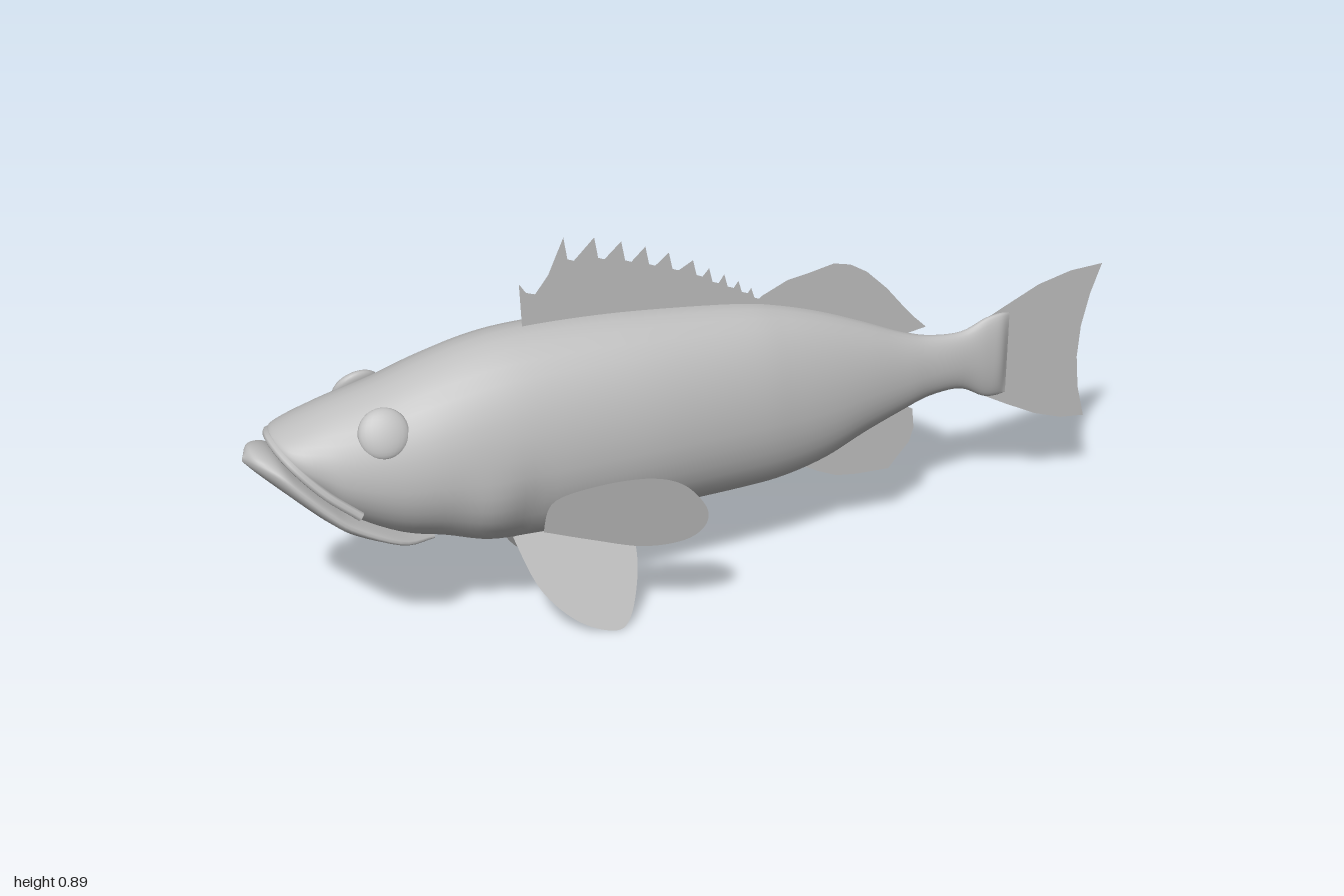
import * as THREE from 'three';

const skin = new THREE.MeshStandardMaterial({ color: 0xbfbfbf, side: THREE.DoubleSide });
skin.name = 'pale grey';

function add(parent, name, geometry) {
  const mesh = new THREE.Mesh(geometry, skin);
  mesh.name = name;
  parent.add(mesh);
  return mesh;
}

// Smooth loft along x. Each station is [x, top, bottom, halfWidth].
function loft(stations, rings, sides, mid, shape = () => 0) {
  const heights = new THREE.CatmullRomCurve3(
    stations.map(s => new THREE.Vector3(s[0], s[1], s[2])), false, 'catmullrom', 0.5);
  const widths = new THREE.CatmullRomCurve3(
    stations.map(s => new THREE.Vector3(s[0], s[3], 0)), false, 'catmullrom', 0.5);
  const pos = [], idx = [];
  for (let i = 0; i <= rings; i++) {
    const h = heights.getPoint(i / rings);
    const w = Math.max(widths.getPoint(i / rings).y, 0);
    const c = h.z + (h.y - h.z) * mid;
    for (let j = 0; j < sides; j++) {
      const a = (j / sides) * Math.PI * 2;
      const s = Math.sin(a);
      const y = c + s * (s > 0 ? h.y - c : c - h.z);
      pos.push(h.x, y, Math.cos(a) * (w + shape(h.x, y)));
    }
  }
  for (let i = 0; i < rings; i++) {
    for (let j = 0; j < sides; j++) {
      const k = (j + 1) % sides;
      const a = i * sides + j, b = i * sides + k;
      const d = a + sides, e = b + sides;
      idx.push(a, d, b, b, d, e);
    }
  }
  const g = new THREE.BufferGeometry();
  g.setAttribute('position', new THREE.Float32BufferAttribute(pos, 3));
  g.setIndex(idx);
  g.computeVertexNormals();
  return g;
}

// Flat fin from an outline; depth(x, y) places it in z.
function fin(points, smooth, depth = () => 0) {
  const pts = points.map(p => new THREE.Vector2(p[0], p[1]));
  const shape = new THREE.Shape();
  shape.moveTo(pts[0].x, pts[0].y);
  if (smooth) shape.splineThru(pts.slice(1));
  else pts.slice(1).forEach(p => shape.lineTo(p.x, p.y));
  const g = new THREE.ShapeGeometry(shape, 5);
  const p = g.attributes.position;
  for (let i = 0; i < p.count; i++) p.setZ(i, depth(p.getX(i), p.getY(i)));
  g.computeVertexNormals();
  return g;
}

export function createModel() {
  const fish = new THREE.Group();
  fish.name = 'fish';

  // Body, with a slight gill cover step low on each side
  const gill = (x, y) => {
    const low = Math.exp(-(((y - 0.33) / 0.09) ** 2));
    return 0.008 * low * Math.exp(-(((x + 0.52) / 0.05) ** 2))
      - 0.008 * low * Math.exp(-(((x + 0.42) / 0.04) ** 2));
  };
  add(fish, 'body', loft([
    [-0.945, 0.55, 0.54, 0], [-0.93, 0.562, 0.515, 0.06], [-0.9, 0.575, 0.465, 0.095],
    [-0.85, 0.593, 0.405, 0.118], [-0.8, 0.608, 0.35, 0.135], [-0.7, 0.633, 0.29, 0.155],
    [-0.6, 0.665, 0.26, 0.168], [-0.5, 0.69, 0.225, 0.174], [-0.4, 0.7, 0.215, 0.174],
    [-0.25, 0.697, 0.213, 0.168], [-0.1, 0.685, 0.213, 0.158], [0.1, 0.66, 0.213, 0.135],
    [0.2, 0.637, 0.218, 0.119], [0.3, 0.603, 0.24, 0.1], [0.4, 0.56, 0.282, 0.077],
    [0.5, 0.513, 0.317, 0.052], [0.57, 0.49, 0.338, 0.036], [0.65, 0.484, 0.34, 0.026],
    [0.71, 0.507, 0.308, 0.023], [0.745, 0.513, 0.302, 0.018], [0.77, 0.51, 0.305, 0],
  ], 100, 36, 0.46, gill));

  // Jutting lower jaw and thin upper lip
  add(fish, 'lowerJaw', loft([
    [-1, 0.515, 0.505, 0], [-0.98, 0.533, 0.485, 0.045], [-0.94, 0.522, 0.445, 0.08],
    [-0.9, 0.482, 0.407, 0.103], [-0.85, 0.432, 0.362, 0.122], [-0.8, 0.388, 0.328, 0.132],
    [-0.7, 0.325, 0.287, 0.128], [-0.62, 0.29, 0.268, 0.08],
  ], 32, 24, 0.6));
  const lip = [[-0.79, 0.4, 0.132], [-0.86, 0.46, 0.115], [-0.92, 0.525, 0.075], [-0.94, 0.548, 0]];
  const lipPath = [...lip, ...lip.slice(0, 3).reverse().map(p => [p[0], p[1], -p[2]])];
  add(fish, 'upperLip', new THREE.TubeGeometry(
    new THREE.CatmullRomCurve3(lipPath.map(p => new THREE.Vector3(...p))), 32, 0.01, 8));

  // Spiny front dorsal fin: sharp tips with notches behind them
  const tips = [[-0.29, 0.89], [-0.222, 0.878], [-0.162, 0.858], [-0.108, 0.836], [-0.055, 0.812],
    [0, 0.784], [0.037, 0.758], [0.072, 0.737], [0.105, 0.715], [0.135, 0.692]];
  const spiny = [[-0.385, 0.67], [-0.39, 0.8], [-0.375, 0.777], [-0.355, 0.77], [-0.325, 0.81]];
  tips.forEach(([x, y], i) => {
    const drop = 0.052 - i * 0.003;
    spiny.push([x, y], [x + 0.008, y - drop], [x + 0.022, y - drop - 0.006]);
  });
  spiny.push([0.165, 0.66], [0.16, 0.62], [-0.1, 0.65]);
  add(fish, 'spinyDorsalFin', fin(spiny));

  // Soft fins along the centre line
  add(fish, 'softDorsalFin', fin([[0.13, 0.64], [0.16, 0.668], [0.22, 0.695], [0.27, 0.703],
    [0.33, 0.715], [0.37, 0.705], [0.41, 0.68], [0.46, 0.63], [0.5, 0.58], [0.53, 0.545],
    [0.56, 0.515], [0.5, 0.505], [0.4, 0.54], [0.25, 0.6]]));
  add(fish, 'analFin', fin([[0.24, 0.235], [0.3, 0.198], [0.35, 0.175], [0.4, 0.168], [0.48, 0.165],
    [0.5, 0.19], [0.53, 0.225], [0.54, 0.26], [0.535, 0.31], [0.5, 0.33], [0.4, 0.31], [0.3, 0.26]]));
  add(fish, 'tailFin', fin([[0.7, 0.5], [0.76, 0.53], [0.84, 0.568], [0.92, 0.588], [1, 0.592],
    [0.975, 0.52], [0.957, 0.44], [0.952, 0.36], [0.96, 0.28], [0.98, 0.2], [0.92, 0.207],
    [0.85, 0.232], [0.77, 0.275], [0.7, 0.315]]));

  // Paired fins and eyes
  for (const [side, name] of [[1, 'left'], [-1, 'right']]) {
    add(fish, name + 'PectoralFin', fin([[-0.4, 0.28], [-0.385, 0.365], [-0.3, 0.41], [-0.2, 0.43],
      [-0.13, 0.41], [-0.08, 0.345], [-0.08, 0.29], [-0.12, 0.25], [-0.2, 0.235], [-0.3, 0.255],
      [-0.4, 0.28]], true, (x, y) => side * (0.155 + 0.37 * (x + 0.4) + 0.25 * (y - 0.32))));
    add(fish, name + 'PelvicFin', fin([[-0.44, 0.225], [-0.4, 0.115], [-0.33, 0.038], [-0.25, 0.003],
      [-0.21, 0.02], [-0.18, 0.09], [-0.17, 0.16], [-0.19, 0.19], [-0.25, 0.205], [-0.31, 0.235],
      [-0.44, 0.225]], true, (x, y) => side * (0.057 + 0.49 * (0.22 - y))));
    const eye = add(fish, name + 'Eye', new THREE.SphereGeometry(1, 24, 16));
    eye.scale.set(0.054, 0.054, 0.02);
    eye.position.set(-0.725, 0.57, side * 0.106);
    eye.lookAt(-0.725 - 0.15, 0.57 + 0.55, side * 1.106);
  }
  return fish;
}
